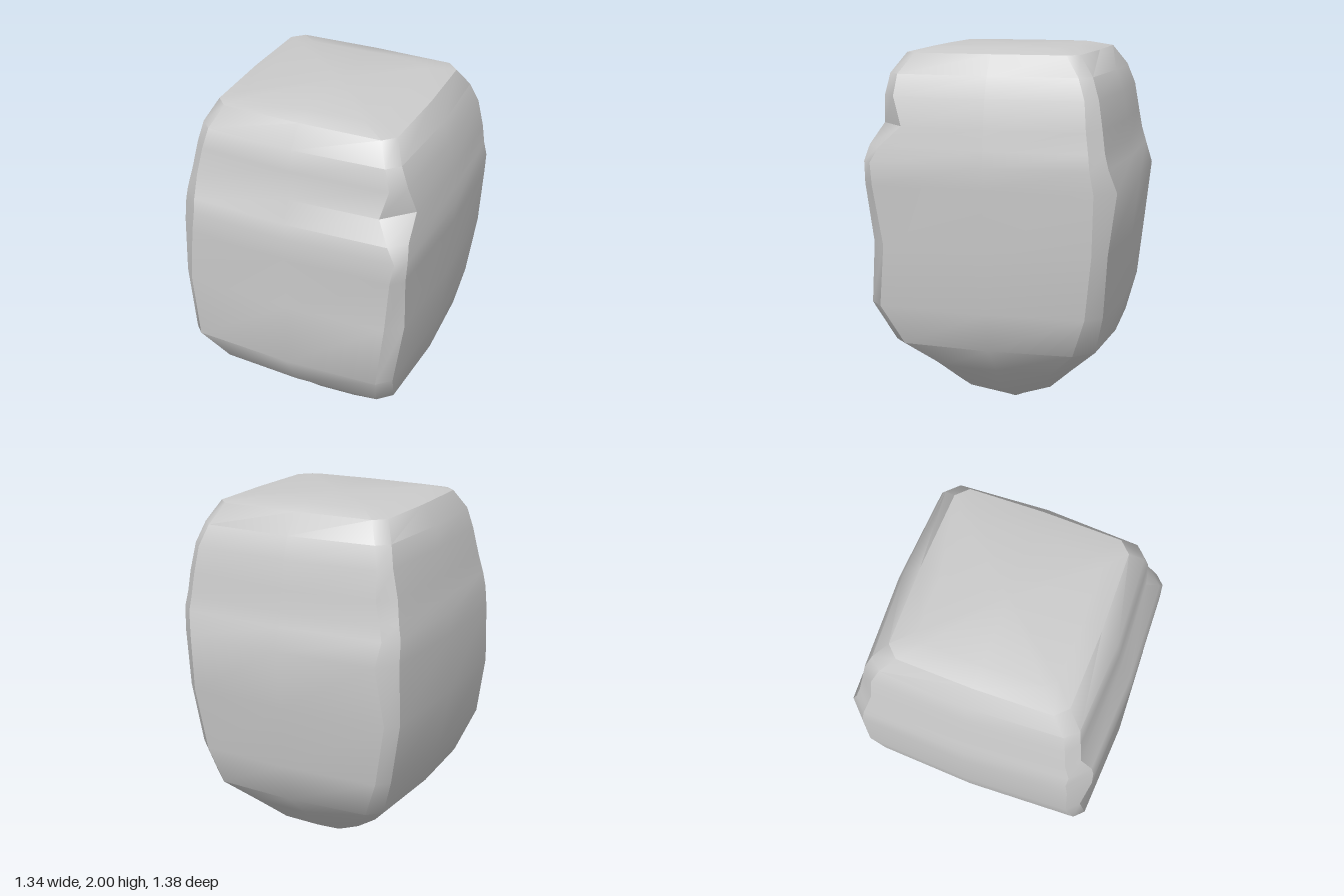
import * as THREE from 'three';
import { toCreasedNormals } from 'three/addons/utils/BufferGeometryUtils.js';

// Each level: height, half extents of the [left, right, back, front] faces,
// and corner chamfers [front right-hand, front left-hand, back left-hand, back right-hand] as +x+z, -x+z, -x-z, +x-z
const levels = [
  [0.035, [0.07, 0.10, 0.07, 0.07], [0.03, 0.03, 0.03, 0.03]],
  [0.14, [0.22, 0.30, 0.26, 0.27], [0.08, 0.08, 0.08, 0.08]],
  [0.28, [0.39, 0.42, 0.40, 0.41], [0.10, 0.10, 0.09, 0.09]],
  [0.43, [0.54, 0.56, 0.57, 0.57], [0.07, 0.08, 0.07, 0.10]],
  [0.64, [0.61, 0.60, 0.62, 0.69], [0.07, 0.05, 0.06, 0.08]],
  [0.98, [0.67, 0.64, 0.65, 0.66], [0.08, 0.06, 0.06, 0.07]],
  [1.30, [0.665, 0.655, 0.69, 0.69], [0.06, 0.10, 0.09, 0.10]],
  [1.42, [0.66, 0.665, 0.65, 0.685], [0.05, 0.11, 0.07, 0.08]],
  [1.50, [0.64, 0.65, 0.63, 0.67], [0.08, 0.09, 0.07, 0.07]],
  [1.61, [0.62, 0.64, 0.615, 0.61], [0.14, 0.06, 0.08, 0.07]],
  [1.76, [0.59, 0.61, 0.59, 0.59], [0.07, 0.06, 0.06, 0.06]],
  [1.87, [0.56, 0.57, 0.55, 0.57], [0.06, 0.06, 0.06, 0.06]],
  [1.975, [0.49, 0.50, 0.46, 0.48], [0.06, 0.06, 0.06, 0.06]],
  [2.0, [0.38, 0.36, 0.35, 0.38], [0.05, 0.05, 0.05, 0.05]],
];

// Closed cross-section: slightly bowed faces with chamfered corners
function section([y, [left, right, back, front], chamfers]) {
  const bow = (y < 0.3 || y > 1.9) ? 0.01 : 0.025;
  const corner = (sx, sz, c) => {
    const x = (sx > 0 ? right : left) - bow;
    const z = (sz > 0 ? front : back) - bow;
    const side = [sx * x, y, sz * (z - c)];
    const face = [sx * (x - c), y, sz * z];
    return sx * sz > 0 ? [side, face] : [face, side];
  };
  return [
    [right, y, 0], ...corner(1, 1, chamfers[0]),
    [0, y, front], ...corner(-1, 1, chamfers[1]),
    [-left, y, 0], ...corner(-1, -1, chamfers[2]),
    [0, y, -back], ...corner(1, -1, chamfers[3]),
  ];
}

export function createModel() {
  const rings = levels.map(section);
  const n = rings[0].length;
  const points = rings.flat();
  const tip = points.push([0.02, 0, 0]) - 1;
  const crown = points.push([0, 2, 0]) - 1;
  const last = (rings.length - 1) * n;
  const index = [];

  for (let j = 0; j < n; j++) {
    const k = (j + 1) % n;
    // Sides
    for (let r = 0; r < last; r += n) {
      index.push(r + j, r + n + j, r + k, r + k, r + n + j, r + n + k);
    }
    // Pointed base and flat top
    index.push(tip, j, k, crown, last + k, last + j);
  }

  const geometry = new THREE.BufferGeometry();
  geometry.setAttribute('position', new THREE.Float32BufferAttribute(points.flat(), 3));
  geometry.setIndex(index);

  const stone = new THREE.Mesh(
    toCreasedNormals(geometry, 0.66),
    new THREE.MeshStandardMaterial({ color: 0xcccccc }),
  );
  stone.name = 'stoneBlock';

  const model = new THREE.Group();
  model.name = 'taperedStone';
  model.add(stone);
  return model;
}
